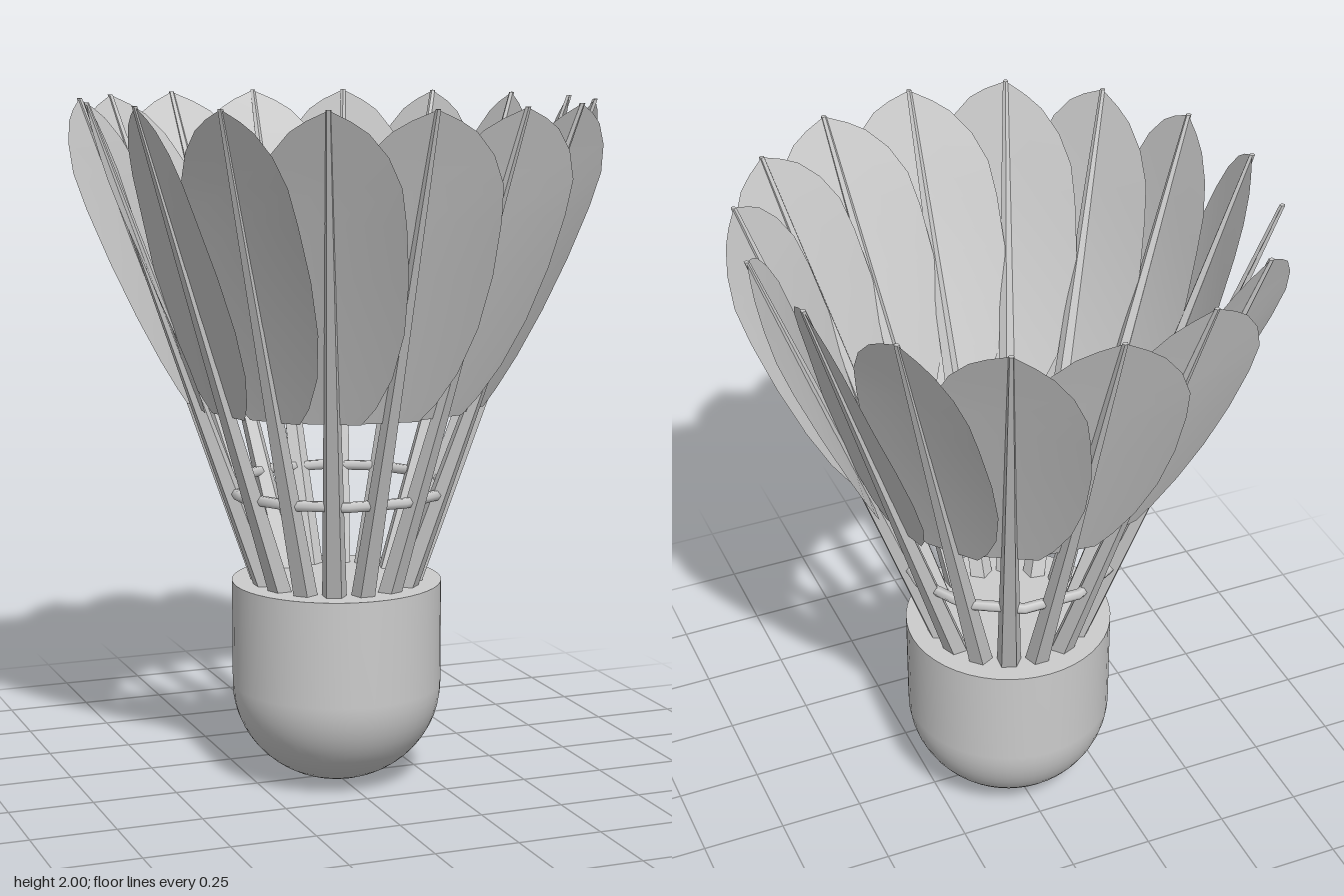
import * as THREE from 'three';

const COUNT = 16;
const QUILL_BOTTOM = 0.55, TOP = 2;

// Distance of a quill's axis from the centre at height y
const quillRadius = (y) => 0.222 + (y - 0.6) * 0.366;

// Five-sided tapering quill, sheared outwards with its ridge facing in
function quillGeometry() {
  const geo = new THREE.CylinderGeometry(0.008, 0.038, TOP - QUILL_BOTTOM, 5, 1, false, Math.PI);
  geo.translate(0, (TOP + QUILL_BOTTOM) / 2, 0);
  const p = geo.attributes.position;
  for (let i = 0; i < p.count; i++) p.setZ(i, p.getZ(i) + quillRadius(p.getY(i)));
  geo.computeVertexNormals();
  return geo;
}

// Thin vane: rows of [height, half width], twisted so that neighbours overlap
function vaneGeometry() {
  const rows = [
    [1.13, 0.08], [1.18, 0.12], [1.27, 0.165], [1.4, 0.197], [1.55, 0.208],
    [1.7, 0.202], [1.8, 0.19], [1.88, 0.155], [1.94, 0.105], [1.97, 0.06], [1.995, 0.008],
  ];
  const pos = [], index = [];
  rows.forEach(([y, w], i) => {
    const twist = Math.min(0.12 + 0.38 * (y - 1.13), 0.36);
    for (const s of [-1, 0, 1]) pos.push(s * w, y, quillRadius(y) + s * w * twist);
    if (i === 0) return;
    for (let c = 0; c < 2; c++) {
      const a = (i - 1) * 3 + c, b = a + 3;
      index.push(a, a + 1, b + 1, a, b + 1, b);
    }
  });
  const geo = new THREE.BufferGeometry();
  geo.setAttribute('position', new THREE.Float32BufferAttribute(pos, 3));
  geo.setIndex(index);
  geo.computeVertexNormals();
  return geo;
}

export function createModel() {
  const model = new THREE.Group();
  model.name = 'shuttlecock';
  const smooth = new THREE.MeshStandardMaterial({ color: 0xcccccc });
  const flat = new THREE.MeshStandardMaterial({ color: 0xcccccc, flatShading: true });
  const thin = new THREE.MeshStandardMaterial({ color: 0xcccccc, side: THREE.DoubleSide });

  const add = (name, geo, mat, parent = model) => {
    const mesh = new THREE.Mesh(geo, mat);
    mesh.name = name;
    parent.add(mesh);
    return mesh;
  };

  // Cork: domed bottom, straight wall and flat top
  const profile = [];
  for (let i = 0; i <= 14; i++) {
    const a = (i / 14) * Math.PI / 2;
    profile.push(new THREE.Vector2(0.308 * Math.sin(a), 0.29 * (1 - Math.cos(a))));
  }
  profile.push(new THREE.Vector2(0.308, 0.6));
  add('cork', new THREE.LatheGeometry(profile, 48), smooth);
  const lid = add('corkTop', new THREE.CircleGeometry(0.308, 48), smooth);
  lid.rotation.x = -Math.PI / 2;
  lid.position.y = 0.6;

  // Binding ring threaded through the quills
  const ring = add('bindingRing', new THREE.TorusGeometry(0.328, 0.016, 6, 12), smooth);
  ring.rotation.set(Math.PI / 2, 0, Math.PI / 12);
  ring.position.y = 0.88;

  // Feathers around the axis
  const quill = quillGeometry(), vane = vaneGeometry();
  for (let i = 0; i < COUNT; i++) {
    const feather = new THREE.Group();
    feather.name = `feather${i + 1}`;
    feather.rotation.y = (i / COUNT) * Math.PI * 2;
    add('quill', quill, flat, feather);
    add('vane', vane, thin, feather);
    model.add(feather);
  }
  return model;
}
